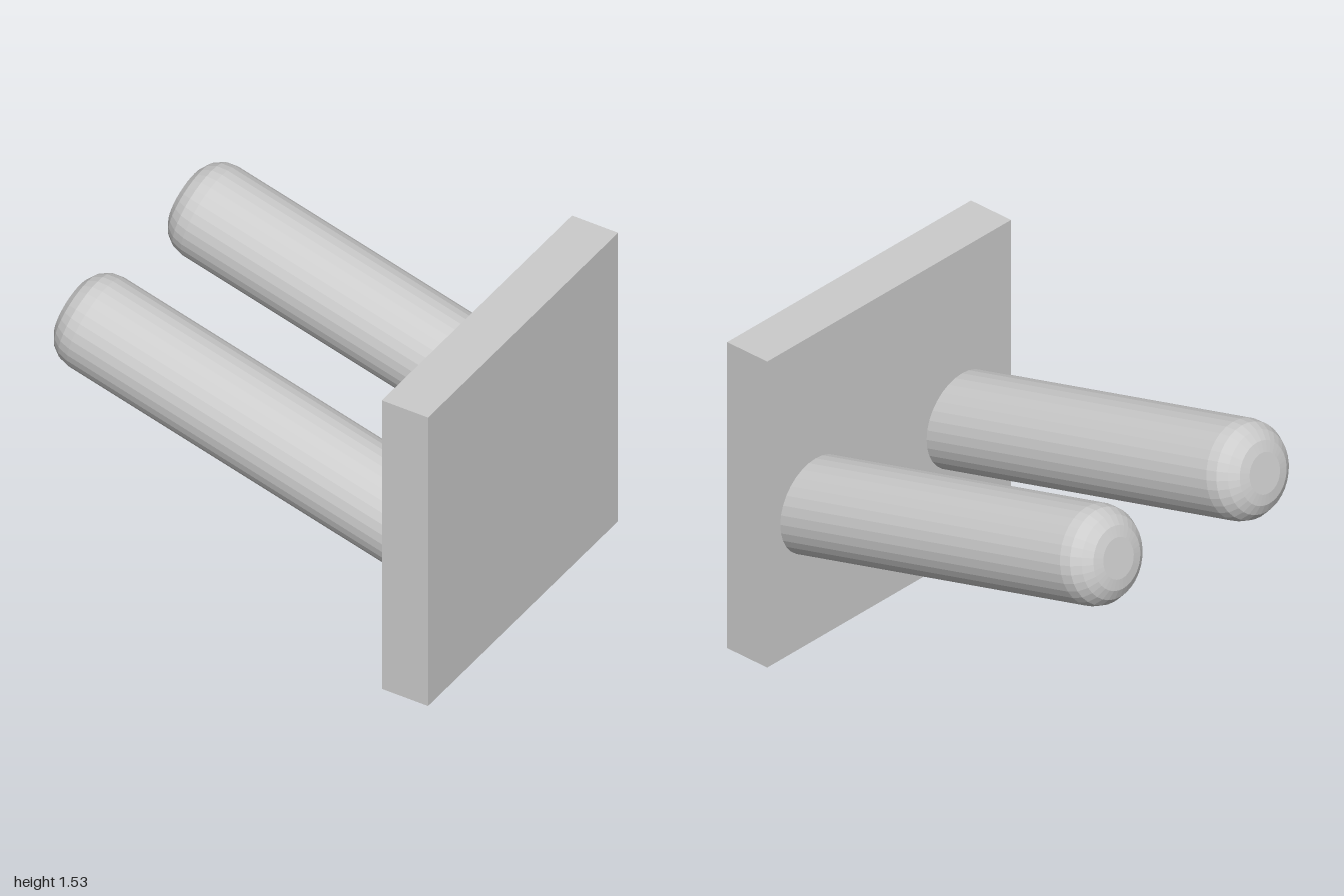
import * as THREE from 'three';

const material = new THREE.MeshStandardMaterial({ color: 0xcccccc, flatShading: true });

// Lathe profile: straight shaft, quarter-round bevel, flat tip
function pegGeometry(radius, start, length, bevel) {
  const profile = [new THREE.Vector2(0, start), new THREE.Vector2(radius, start)];
  const steps = 4;
  for (let i = 0; i <= steps; i++) {
    const a = (i / steps) * Math.PI / 2;
    profile.push(new THREE.Vector2(
      radius - bevel + bevel * Math.cos(a),
      length - bevel + bevel * Math.sin(a)
    ));
  }
  profile.push(new THREE.Vector2(0, length));
  return new THREE.LatheGeometry(profile, 32);
}

export function createModel() {
  const group = new THREE.Group();
  group.name = 'wallPegs';

  // Square backing plate
  const plate = new THREE.Mesh(new THREE.BoxGeometry(0.23, 1.53, 1.53), material);
  plate.name = 'backPlate';
  plate.position.set(0.885, 0.765, 0);
  group.add(plate);

  // Two pegs rising 15 degrees away from the plate, rooted inside it
  const geometry = pegGeometry(0.222, -0.07, 1.8, 0.13);
  for (const [name, z] of [['frontPeg', 0.457], ['backPeg', -0.461]]) {
    const peg = new THREE.Mesh(geometry, material);
    peg.name = name;
    peg.position.set(0.77, 0.676, z);
    peg.rotation.z = THREE.MathUtils.degToRad(75);
    group.add(peg);
  }

  return group;
}
